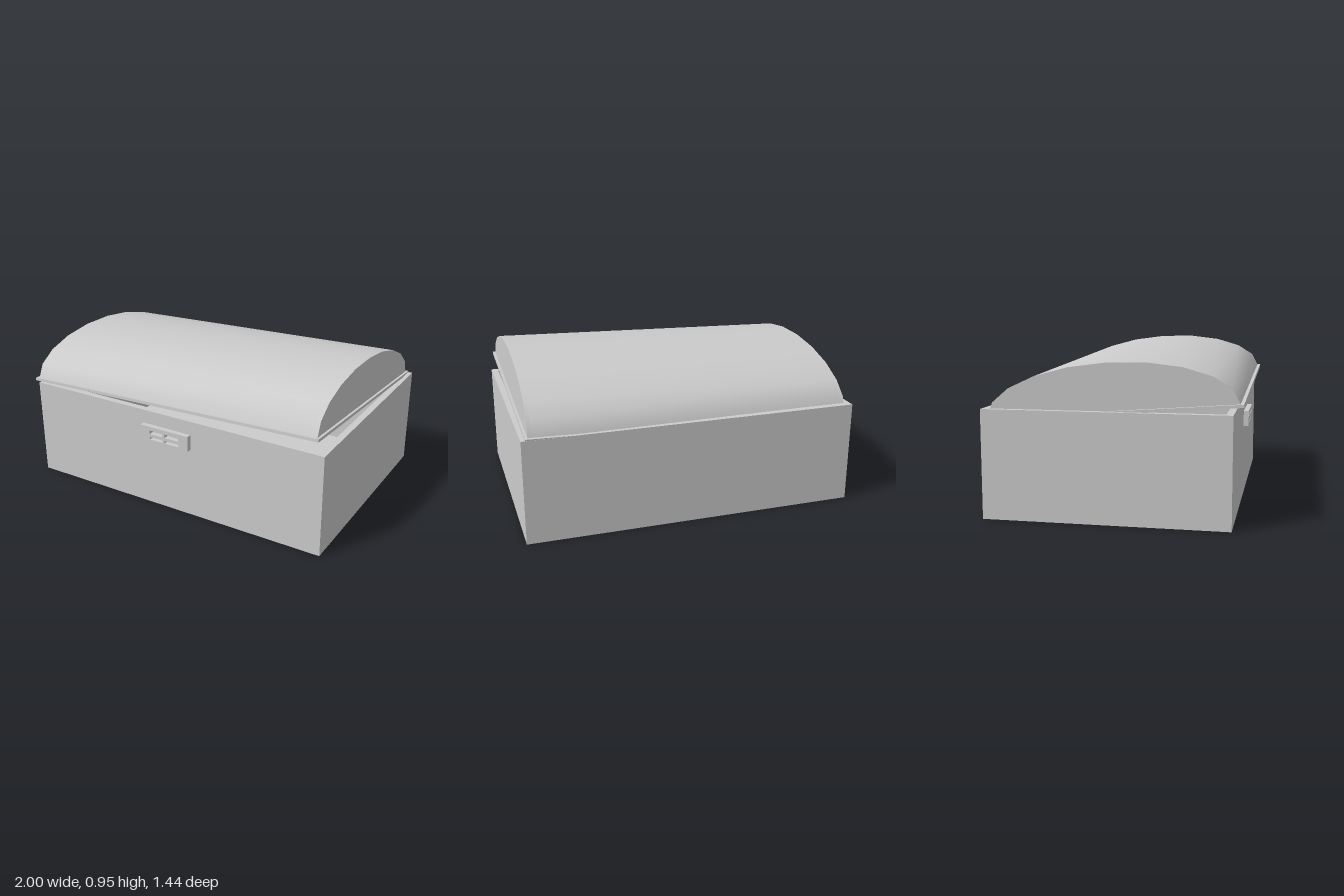
import * as THREE from 'three';
import { mergeVertices, toCreasedNormals } from 'three/addons/utils/BufferGeometryUtils.js';

const material = new THREE.MeshStandardMaterial({ color: 0xcccccc });

function part(name, geometry, parent, x = 0, y = 0, z = 0) {
  const mesh = new THREE.Mesh(geometry, material);
  mesh.name = name;
  mesh.position.set(x, y, z);
  parent.add(mesh);
  return mesh;
}

// Adds the four corners of a rectangle to a shape or path
function rect(path, x0, y0, x1, y1) {
  path.moveTo(x0, y0);
  path.lineTo(x1, y0);
  path.lineTo(x1, y1);
  path.lineTo(x0, y1);
  path.closePath();
  return path;
}

const extrude = (shape, depth) => new THREE.ExtrudeGeometry(shape, { depth, bevelEnabled: false });

// Points of a half ellipse from the front edge over the top to the back edge
function arch(halfWidth, height, segments = 10) {
  return Array.from({ length: segments + 1 }, (_, i) => {
    const a = (Math.PI * i) / segments;
    return new THREE.Vector2(halfWidth * Math.cos(a), height * Math.sin(a));
  });
}

// Extrudes an arch-shaped section along x, centred on x = 0
function alongX(shape, length) {
  const g = extrude(shape, length).translate(0, 0, -length / 2).rotateY(-Math.PI / 2);
  g.deleteAttribute('uv');
  g.deleteAttribute('normal');
  return toCreasedNormals(mergeVertices(g), 0.7);
}

export function createModel() {
  const model = new THREE.Group();
  model.name = 'chest';

  // Open-topped box: floor and a ring of walls
  const box = new THREE.Group();
  box.name = 'box';
  model.add(box);
  const height = 0.62, wall = 0.04, back = -0.72, front = 0.667;
  const ring = rect(new THREE.Shape(), -1, -front, 1, -back);
  ring.holes.push(rect(new THREE.Path(), -1 + wall, -front + wall, 1 - wall, -back - wall));
  part('boxWalls', extrude(ring, height).rotateX(-Math.PI / 2), box);
  part('boxFloor', new THREE.BoxGeometry(2 - 2 * wall, wall, front - back - 2 * wall), box,
    0, wall / 2, (front + back) / 2);

  // Latch plate with four slots
  const plate = rect(new THREE.Shape(), -0.178, 0.44, 0.156, 0.535);
  for (const [x0, x1] of [[-0.112, -0.022], [-0.006, 0.091]]) {
    for (const [y0, y1] of [[0.452, 0.468], [0.488, 0.511]]) {
      plate.holes.push(rect(new THREE.Path(), x0, y0, x1, y1));
    }
  }
  part('latchPlate', extrude(plate, 0.031), model, 0, 0, front);

  // Hollow domed lid, resting askew and slightly open
  const lid = new THREE.Group();
  lid.name = 'lid';
  lid.position.set(0, 0.652, 0);
  lid.rotation.set(-0.075, 0.003, 0.031);
  model.add(lid);

  // Flat rim around the lid opening
  const rim = rect(new THREE.Shape(), -0.977, -0.716, 0.977, 0.716);
  rim.holes.push(rect(new THREE.Path(), -0.94, -0.68, 0.94, 0.68));
  part('lidRim', extrude(rim, 0.017).rotateX(-Math.PI / 2), lid, 0, -0.017, 0);

  // Curved shell
  const outer = arch(0.697, 0.262);
  const inner = arch(0.68, 0.245).reverse();
  part('lidShell', alongX(new THREE.Shape([...outer, ...inner]), 1.884), lid);

  // Solid end panels
  for (const side of [-1, 1]) {
    part(side > 0 ? 'leftEndPanel' : 'rightEndPanel', alongX(new THREE.Shape(outer), 0.02), lid, side * 0.952);
  }

  return model;
}
